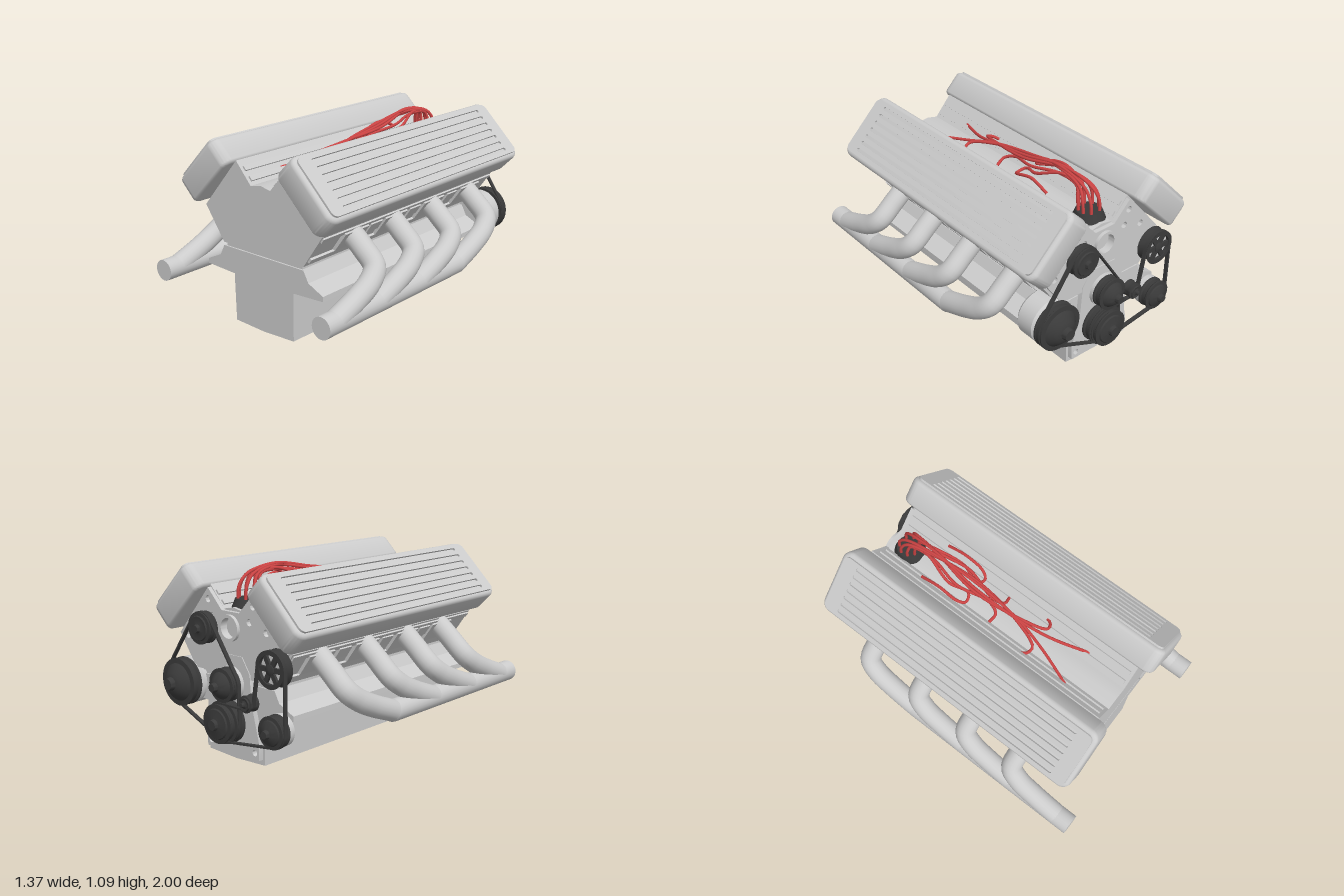
import * as THREE from 'three';
import { toCreasedNormals } from 'three/addons/utils/BufferGeometryUtils.js';

const grey = new THREE.MeshStandardMaterial({ color: 0xcccccc });
const dark = new THREE.MeshStandardMaterial({ color: 0x3a3a3a });
const red = new THREE.MeshStandardMaterial({ color: 0xcc4444 });
const CX = 0.015; // centre line of the block

const V = (x, y, z) => new THREE.Vector3(x, y, z);
const shapeOf = (pts) => new THREE.Shape(pts.map(([x, y]) => new THREE.Vector2(x, y)));

function add(parent, name, geometry, material = grey, x = 0, y = 0, z = 0) {
  const mesh = new THREE.Mesh(geometry, material);
  mesh.name = name;
  mesh.position.set(x, y, z);
  parent.add(mesh);
  return mesh;
}

// Extrusion along z between two depths
function slab(parent, name, shape, z0, z1, material = grey) {
  const geo = new THREE.ExtrudeGeometry(shape, { depth: z1 - z0, bevelEnabled: false, curveSegments: 20 });
  return add(parent, name, toCreasedNormals(geo, 0.6), material, 0, 0, z0);
}

// Outline from its right half, mirrored about the centre line
const mirrored = (half) => shapeOf([
  ...half.map(([x, y]) => [CX + x, y]),
  ...[...half].reverse().map(([x, y]) => [CX - x, y]),
]);

function hole(shape, x, y, r) {
  shape.holes.push(new THREE.Path().absarc(x, y, r, 0, Math.PI * 2, true));
}

function roundedRect(w, h, r, cx = 0, cy = 0, T = THREE.Shape) {
  const a = w / 2 - r, b = h / 2 - r, q = Math.PI / 2;
  const s = new T();
  s.absarc(cx + a, cy + b, r, 0, q);
  s.absarc(cx - a, cy + b, r, q, 2 * q);
  s.absarc(cx - a, cy - b, r, 2 * q, 3 * q);
  s.absarc(cx + a, cy - b, r, 3 * q, 4 * q);
  s.closePath();
  return s;
}

// Rounded cover at 45 degrees with long slots in its outer face
function valveCover(side) {
  const g = new THREE.Group();
  g.name = side > 0 ? 'leftValveCover' : 'rightValveCover';
  const L = 0.425, Z = 1.81, bev = 0.026, top = 0.012, T = 0.18;
  const body = new THREE.ExtrudeGeometry(roundedRect(L - 2 * bev, Z - 2 * bev, 0.035), {
    depth: T - top - 2 * bev, bevelSize: bev, bevelThickness: bev, bevelSegments: 4, curveSegments: 6,
  });
  add(g, 'coverBody', toCreasedNormals(body, 0.7), grey, 0, 0, bev - T / 2);
  const face = roundedRect(L - 2 * bev, Z - 2 * bev, 0.035);
  for (let i = -3; i <= 3; i++) face.holes.push(roundedRect(0.02, 1.57, 0.0099, i * 0.05, 0, THREE.Path));
  slab(g, 'slottedFace', face, T / 2 - top, T / 2);
  const k = Math.SQRT1_2;
  g.applyMatrix4(new THREE.Matrix4().makeBasis(V(k, -k * side, 0), V(0, 0, -1), V(k * side, k, 0)));
  g.position.set(0.012 + side * 0.393, 0.895, -0.015);
  return g;
}

// Four header pipes sweeping into one collector
function exhaust(side) {
  const g = new THREE.Group();
  g.name = side > 0 ? 'leftExhaust' : 'rightExhaust';
  const path = [[.38, .645, 0], [.5, .545, 0], [.59, .46, .01], [.615, .4, .08], [.62, .34, .2], [.62, .275, .37]];
  for (const z of [0.52, 0.17, -0.2, -0.585]) {
    const curve = new THREE.CatmullRomCurve3(path.map(([x, y, dz]) => V(side * x, y, z + dz)));
    add(g, 'headerPipe', new THREE.TubeGeometry(curve, 28, 0.064, 20), grey);
    const port = add(g, 'exhaustPort', new THREE.BoxGeometry(0.06, 0.14, 0.2), grey, CX + side * 0.385, 0.6, z);
    port.rotation.z = -side * 0.63;
  }
  const pipe = add(g, 'collector', new THREE.CylinderGeometry(0.064, 0.064, 1.21, 24), grey, side * 0.62, 0.272, 0.395);
  pipe.rotation.x = Math.PI / 2;
  add(g, 'collectorEnd', new THREE.SphereGeometry(0.064, 20, 12), grey, side * 0.62, 0.272, -0.21);
  return g;
}

// Lathe turned so its height runs towards -z
function turned(parent, name, profile, x, y, z, material = dark) {
  const pts = profile.map(([r, h]) => new THREE.Vector2(r, h));
  const mesh = add(parent, name, toCreasedNormals(new THREE.LatheGeometry(pts, 32), 0.6), material, x, y, z);
  mesh.rotation.x = -Math.PI / 2;
  return mesh;
}

// Grooved wheel with a stepped nose
function pulley(parent, name, x, y, r, z, len) {
  turned(parent, name, [
    [0, 0], [r * 1.08, 0], [r * 1.08, 0.01], [r, 0.018], [r, 0.042], [r * 1.08, 0.05], [r * 1.08, 0.06],
    [r * 0.85, 0.062], [r * 0.8, 0.07], [r * 0.5, len * 0.75], [r * 0.3, len * 0.8], [r * 0.25, len], [0, len],
  ], x, y, z);
}

// Closed belt line round pulleys [x, y, r]; a negative r is wrapped on its outside
function beltLine(wheels, t) {
  const n = wheels.length, out = [];
  const angle = wheels.map(([x, y, r], i) => {
    const [x2, y2, r2] = wheels[(i + 1) % n];
    return Math.atan2(y2 - y, x2 - x) - Math.acos((r - r2) / Math.hypot(x2 - x, y2 - y));
  });
  wheels.forEach(([x, y, r], i) => {
    const a0 = angle[(i + n - 1) % n], full = Math.PI * 2;
    let d = (((angle[i] - a0) % full) + full) % full;
    if (r < 0) d -= full;
    for (let k = 0; k <= 14; k++) {
      const a = a0 + (d * k) / 14;
      out.push([x + (r + t) * Math.cos(a), y + (r + t) * Math.sin(a)]);
    }
  });
  return out;
}
function belt(parent, name, wheels, z) {
  const s = shapeOf(beltLine(wheels, 0.01));
  s.holes.push(shapeOf(beltLine(wheels, 0)));
  slab(parent, name, s, z - 0.024, z, dark);
}

function createModel() {
  const engine = new THREE.Group();
  engine.name = 'engine';

  // Block: V-shaped upper half, gasket, crankcase and sump
  const upper = [[0.31, 0.475], [0.45, 0.675], [0.185, 0.98], [0.075, 0.855], [0.0, 0.87]];
  slab(engine, 'upperBlock', mirrored(upper), -0.82, 0.81);
  slab(engine, 'gasket', mirrored([[0.295, 0.44], [0.295, 0.48]]), -0.81, 0.8);
  slab(engine, 'crankcase', mirrored([[0.23, 0.3], [0.45, 0.31], [0.45, 0.34], [0.345, 0.39], [0.31, 0.455]]), -0.82, 0.81);
  slab(engine, 'oilPan', mirrored([[0.0, 0.0], [0.228, 0.01], [0.232, 0.31]]), -0.82, 0.81);

  for (const s of [-1, 1]) {
    engine.add(valveCover(s), exhaust(s));
    // Long rails on the valley walls and flanks
    for (const [x, y] of [[0.1, 0.885], [0.145, 0.935]]) {
      const rail = add(engine, 'valleyRail', new THREE.BoxGeometry(0.03, 0.02, 1.6), grey, CX + s * x, y, -0.01);
      rail.rotation.z = s * 0.83;
    }
    for (const [x, y] of [[0.43, 0.655], [0.34, 0.52]]) {
      const rail = add(engine, 'flankRail', new THREE.BoxGeometry(0.03, 0.03, 1.61), grey, CX + s * x, y, -0.005);
      rail.rotation.z = -s * 0.62;
    }
    for (const z of [0.345, -0.015, -0.39]) {
      const lug = add(engine, 'headLug', new THREE.BoxGeometry(0.04, 0.07, 0.1), grey, CX + s * 0.41, 0.62, z);
      lug.rotation.z = -s * 0.62;
    }
  }

  // Drilled end plate, timing cover and water outlet
  const plate = mirrored([[0.3, 0.49], [0.43, 0.675], [0.18, 0.965], [0.07, 0.85]]);
  hole(plate, CX, 0.76, 0.06);
  for (const s of [-1, 1]) {
    for (const [x, y] of [[0.18, 0.9], [0.15, 0.81], [0.28, 0.77], [0.36, 0.67]]) hole(plate, CX + s * x, y, 0.02);
  }
  slab(engine, 'endPlate', plate, -0.845, -0.82);
  const ring = new THREE.Shape().absarc(CX, 0.76, 0.075, 0, Math.PI * 2);
  hole(ring, CX, 0.76, 0.058);
  slab(engine, 'waterOutlet', ring, -0.865, -0.82);
  const cover = mirrored([[0.21, 0.04], [0.215, 0.14], [0.16, 0.36], [0.15, 0.52], [0.09, 0.61]]);
  for (const s of [-1, 1]) hole(cover, CX + s * 0.18, 0.08, 0.018);
  slab(engine, 'timingCover', cover, -0.85, -0.81);
  turned(engine, 'waterPump', [[0, 0], [0.1, 0], [0.1, 0.04], [0.06, 0.05], [0.06, 0.07], [0, 0.07]], 0.01, 0.45, -0.83, grey);

  // Accessory bodies
  turned(engine, 'alternatorBody', [[0, 0], [0.12, 0], [0.138, 0.02], [0.138, 0.13], [0.12, 0.15], [0, 0.15]], 0.39, 0.4, -0.705, grey);
  turned(engine, 'pumpBody', [[0, 0], [0.09, 0], [0.09, 0.04], [0, 0.04]], -0.37, 0.26, -0.835, grey);

  // Pulleys and belts
  pulley(engine, 'alternatorPulley', 0.39, 0.4, 0.13, -0.86, 0.14);
  pulley(engine, 'upperPulley', 0.205, 0.74, 0.085, -0.85, 0.09);
  pulley(engine, 'waterPumpPulley', 0.01, 0.45, 0.09, -0.87, 0.13);
  pulley(engine, 'crankPulley', 0.03, 0.23, 0.115, -0.85, 0.14);
  pulley(engine, 'crankOuterPulley', 0.03, 0.23, 0.105, -0.89, 0.1);
  pulley(engine, 'idlerPulley', -0.18, 0.38, 0.045, -0.87, 0.09);
  pulley(engine, 'lowerPulley', -0.37, 0.26, 0.085, -0.87, 0.11);
  belt(engine, 'alternatorBelt', [[0.03, 0.23, 0.115], [0.39, 0.4, 0.13], [0.205, 0.74, 0.085], [0.01, 0.45, 0.09]], -0.875);
  belt(engine, 'accessoryBelt', [[-0.37, 0.26, 0.085], [0.03, 0.23, 0.105], [-0.18, 0.38, -0.045], [-0.36, 0.6, 0.095]], -0.893);

  // Spoked pulley: pale disc, dark rim and blades
  turned(engine, 'spokedPulleyDisc', [[0, 0], [0.09, 0], [0.09, 0.05], [0, 0.05]], -0.36, 0.6, -0.85, grey);
  turned(engine, 'spokedPulleyRim', [[0.08, 0], [0.105, 0], [0.095, 0.03], [0.095, 0.06], [0.105, 0.07], [0.08, 0.07], [0.08, 0]], -0.36, 0.6, -0.85);
  turned(engine, 'spokedPulleyHub', [[0, 0], [0.03, 0], [0.03, 0.03], [0, 0.04]], -0.36, 0.6, -0.89);
  for (let i = 0; i < 6; i++) {
    const a = (i * Math.PI) / 3;
    const blade = add(engine, 'spoke', new THREE.BoxGeometry(0.08, 0.028, 0.02), dark, -0.36 + 0.05 * Math.cos(a), 0.6 + 0.05 * Math.sin(a), -0.905);
    blade.rotation.z = a;
  }

  // Distributor
  add(engine, 'distributorStem', new THREE.CylinderGeometry(0.05, 0.05, 0.1, 20), grey, 0.01, 0.83, -0.71);
  add(engine, 'distributorCap', new THREE.CylinderGeometry(0.075, 0.095, 0.05, 28), dark, 0.01, 0.885, -0.71);

  // Ignition leads: rise from the cap, run along the valley and fan out
  const leads = [
    [[.03, 1.06, -.52], [.07, 1.0, -.35], [.04, 0.97, -.23], [.09, .95, -.21], [.12, .97, -.25], [.125, 1.0, -.38], [.125, .96, -.51]],
    [[.025, 1.05, -.5], [.06, 1.02, -.3], [.015, .98, -.1], [.04, .95, -.03], [.095, .92, -.035]],
    [[.012, 1.07, -.5], [-.03, 1.02, -.2], [.01, .98, .1], [.07, .94, .26], [.115, .92, .25], [.13, .91, .22]],
    [[.008, 1.08, -.5], [-.015, 1.03, -.2], [0, .98, .1], [.04, .93, .3], [.1, .9, .48], [.135, .89, .57]],
  ];
  for (const s of [-1, 1]) {
    leads.forEach((pts, i) => {
      const a = 0.35 + i * 0.75, r = 0.06;
      const sx = 0.01 + s * r * Math.sin(a), sz = -0.71 + r * Math.cos(a);
      const start = [V(sx, 0.9, sz), V(sx, 0.98, sz + 0.01), V(0.012 + s * r * Math.sin(a) * 0.7, 1.04, sz * 0.6 - 0.24)];
      const curve = new THREE.CatmullRomCurve3([...start, ...pts.map(([x, y, z]) => V(0.015 + s * x, y, z))]);
      add(engine, 'ignitionLead', new THREE.TubeGeometry(curve, 60, 0.009, 8), red);
    });
  }
  return engine;
}

export { createModel };
